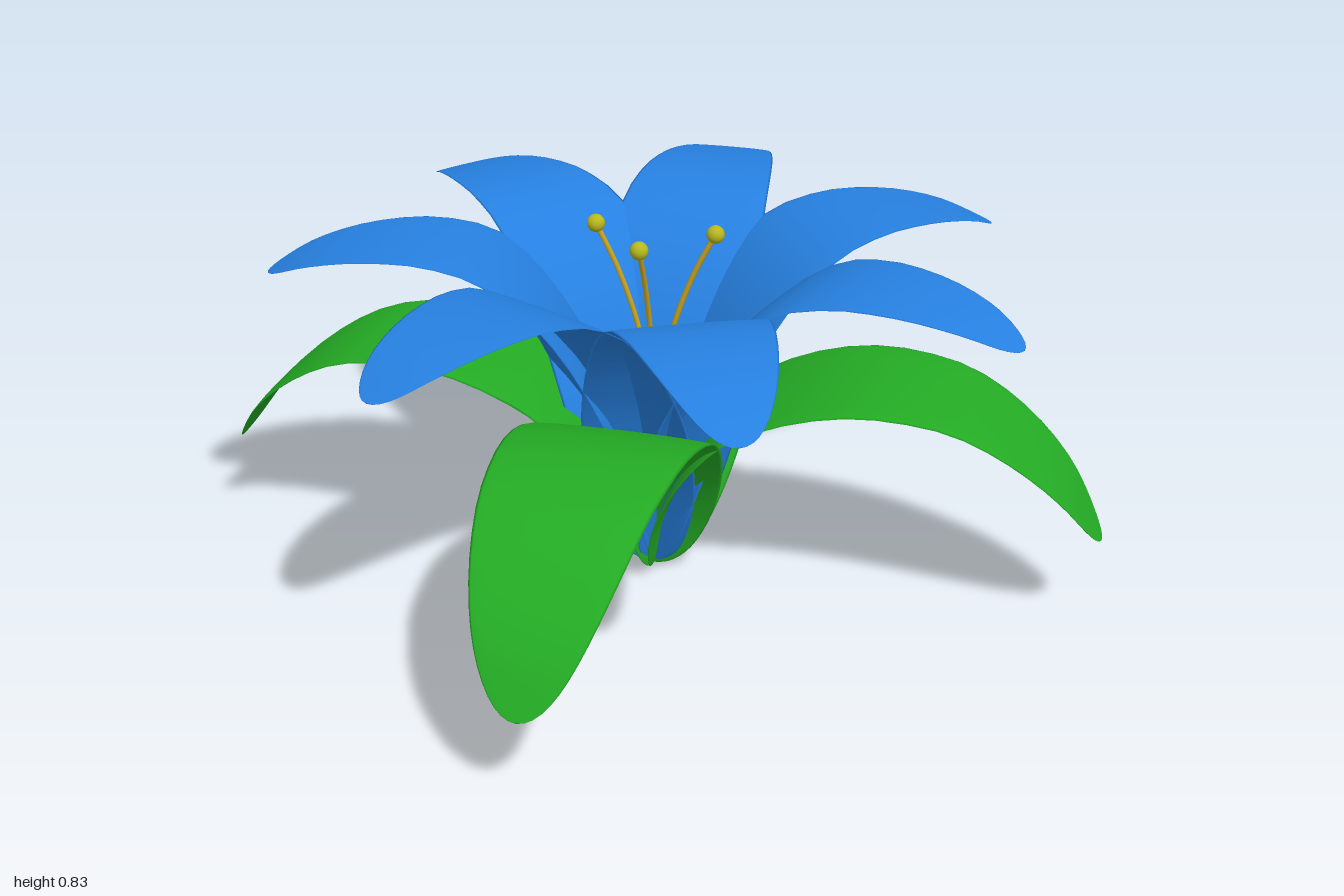
import * as THREE from 'three';
import { mergeVertices } from 'three/addons/utils/BufferGeometryUtils.js';

const material = (name, color) => {
  const m = new THREE.MeshStandardMaterial({ color });
  m.name = name;
  return m;
};

// Thin ellipsoid blade bent along a profile of [radius, height] points, growing toward +z
function bladeGeometry(profile, halfWidth, halfThickness, widest) {
  const curve = new THREE.CatmullRomCurve3(profile.map(([r, y]) => new THREE.Vector3(0, y, r)));
  const sphere = new THREE.SphereGeometry(1, 24, 40);
  sphere.deleteAttribute('uv');
  sphere.deleteAttribute('normal');
  const geometry = mergeVertices(sphere, 1e-5);
  const pos = geometry.attributes.position;
  for (let i = 0; i < pos.count; i++) {
    const x = pos.getX(i), y = pos.getY(i), z = pos.getZ(i);
    const t = THREE.MathUtils.clamp(y < 0 ? widest * (1 + y) : widest + (1 - widest) * y, 0, 1);
    const p = curve.getPointAt(t);
    const d = curve.getTangentAt(t);
    const h = z * halfThickness;
    pos.setXYZ(i, x * halfWidth, p.y - d.z * h, p.z + d.y * h);
  }
  geometry.computeVertexNormals();
  return geometry;
}

// Repeats a geometry evenly around the vertical axis
function ring(name, geometry, mat, count, start) {
  const group = new THREE.Group();
  group.name = name + 's';
  for (let i = 0; i < count; i++) {
    const mesh = new THREE.Mesh(geometry, mat);
    mesh.name = name;
    mesh.rotation.y = start + (i * 2 * Math.PI) / count;
    group.add(mesh);
  }
  return group;
}

export function createModel() {
  const model = new THREE.Group();
  model.name = 'flower';
  const green = material('leaf green', 0x24ab24);
  const blue = material('petal blue', 0x2680e0);
  const yellow = material('anther yellow', 0xb9b81f);
  const gold = material('filament gold', 0xc9a520);

  // Four arching leaves
  const leaf = bladeGeometry([
    [0, 0.005], [0.03, 0.15], [0.1, 0.3], [0.2, 0.42], [0.32, 0.485], [0.45, 0.519],
    [0.55, 0.522], [0.68, 0.5], [0.8, 0.437], [0.91, 0.34], [1, 0.21],
  ], 0.2, 0.008, 0.39);
  model.add(ring('leaf', leaf, green, 4, 0));

  // Seven petals opening into a trumpet
  const petal = bladeGeometry([
    [0, 0.02], [0.04, 0.25], [0.1, 0.43], [0.15, 0.53], [0.2, 0.61], [0.28, 0.7],
    [0.38, 0.763], [0.48, 0.787], [0.55, 0.79], [0.65, 0.781], [0.75, 0.756], [0.84, 0.715],
  ], 0.182, 0.005, 0.38);
  model.add(ring('petal', petal, blue, 7, Math.PI));

  // Three stamens with round anthers
  const filamentCurve = new THREE.CatmullRomCurve3(
    [[0, 0.02], [0.005, 0.3], [0.03, 0.55], [0.08, 0.71], [0.133, 0.82]]
      .map(([r, y]) => new THREE.Vector3(0, y, r)));
  const filament = new THREE.TubeGeometry(filamentCurve, 24, 0.006, 8);
  const anther = new THREE.SphereGeometry(0.02, 16, 12).translate(0, 0.82, 0.133);
  const stamens = new THREE.Group();
  stamens.name = 'stamens';
  for (let i = -1; i <= 1; i++) {
    const stamen = new THREE.Group();
    stamen.name = 'stamen';
    const stalk = new THREE.Mesh(filament, gold);
    stalk.name = 'filament';
    const tip = new THREE.Mesh(anther, yellow);
    tip.name = 'anther';
    stamen.add(stalk, tip);
    stamen.rotation.y = (i * Math.PI) / 2;
    stamens.add(stamen);
  }
  stamens.position.z = -0.012;
  model.add(stamens);

  return model;
}
